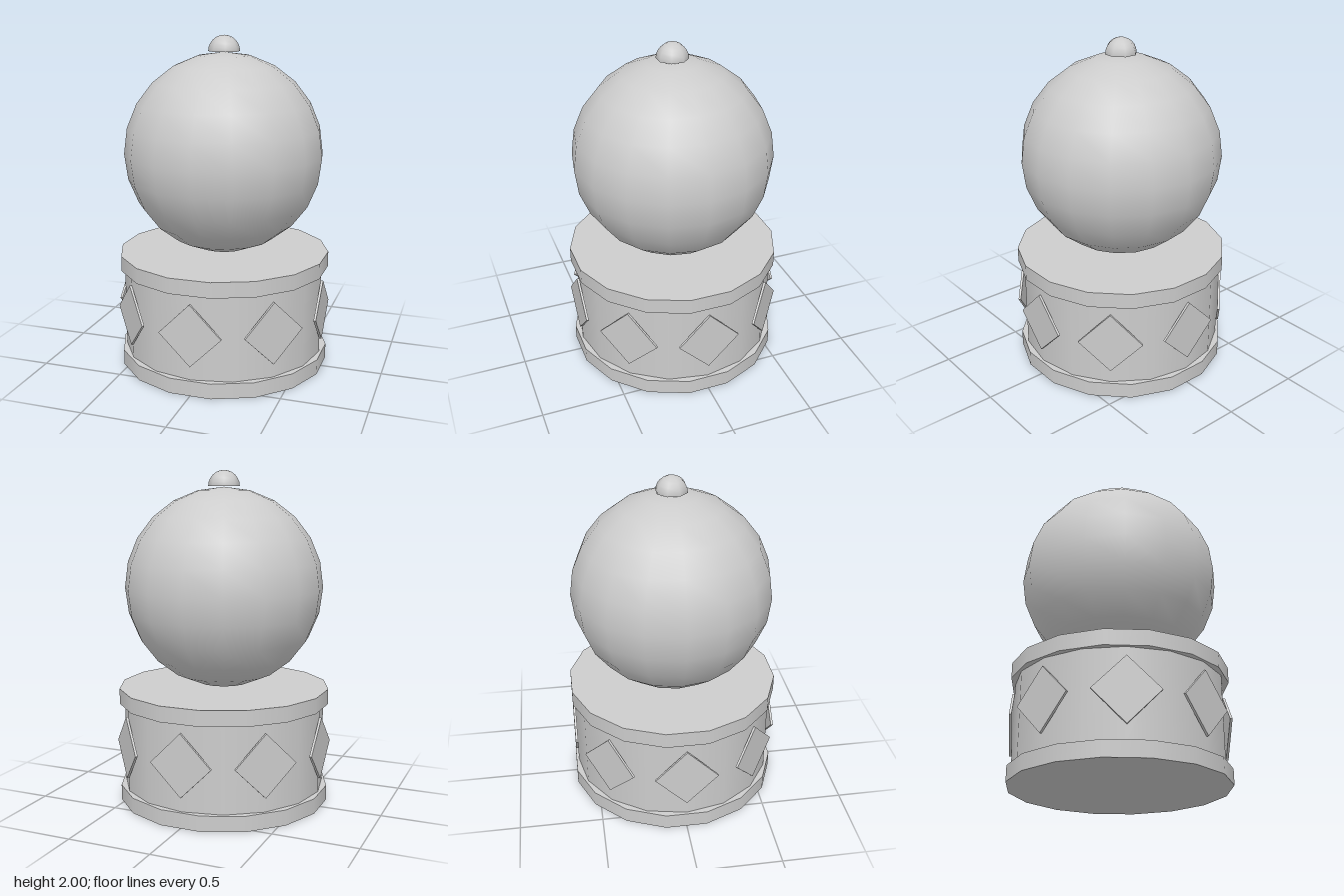
import * as THREE from 'three';

export function createModel() {
  const group = new THREE.Group();
  const grey = new THREE.MeshStandardMaterial({ color: 0xcccccc });
  grey.name = 'light grey';

  const add = (name, geometry, x = 0, y = 0, z = 0) => {
    const mesh = new THREE.Mesh(geometry, grey);
    mesh.name = name;
    mesh.position.set(x, y, z);
    group.add(mesh);
    return mesh;
  };

  // Drum pedestal: a 16-sided body between two rims turned by half a side
  add('drumBody', new THREE.CylinderGeometry(0.614, 0.614, 0.52, 16), 0, 0.353, 0);
  const rim = new THREE.CylinderGeometry(0.642, 0.642, 0.093, 16).rotateY(Math.PI / 16);
  add('bottomRim', rim, 0, 0.0465, 0);
  add('topRim', rim, 0, 0.6535, 0);

  // Eight diamond plates around the drum
  const diamond = new THREE.BoxGeometry(0.266, 0.266, 0.014).rotateZ(Math.PI / 4);
  for (let i = 0; i < 8; i++) {
    const a = (i * Math.PI) / 4;
    add('diamondPlate', diamond, Math.sin(a) * 0.621, 0.366, Math.cos(a) * 0.621).rotation.y = a;
  }

  // Large ball resting on the drum
  add('ball', new THREE.SphereGeometry(0.6, 16, 12), 0, 1.302, 0);

  // Small eight-sided dome knob with a flat underside
  const dome = new THREE.SphereGeometry(0.094, 8, 6, 0, Math.PI * 2, 0, Math.PI / 2);
  add('knobDome', dome.rotateY(Math.PI / 8), 0, 1.906, 0);
  const base = new THREE.CircleGeometry(0.094, 8).rotateX(Math.PI / 2).rotateY(Math.PI / 8);
  add('knobBase', base, 0, 1.906, 0);

  return group;
}
